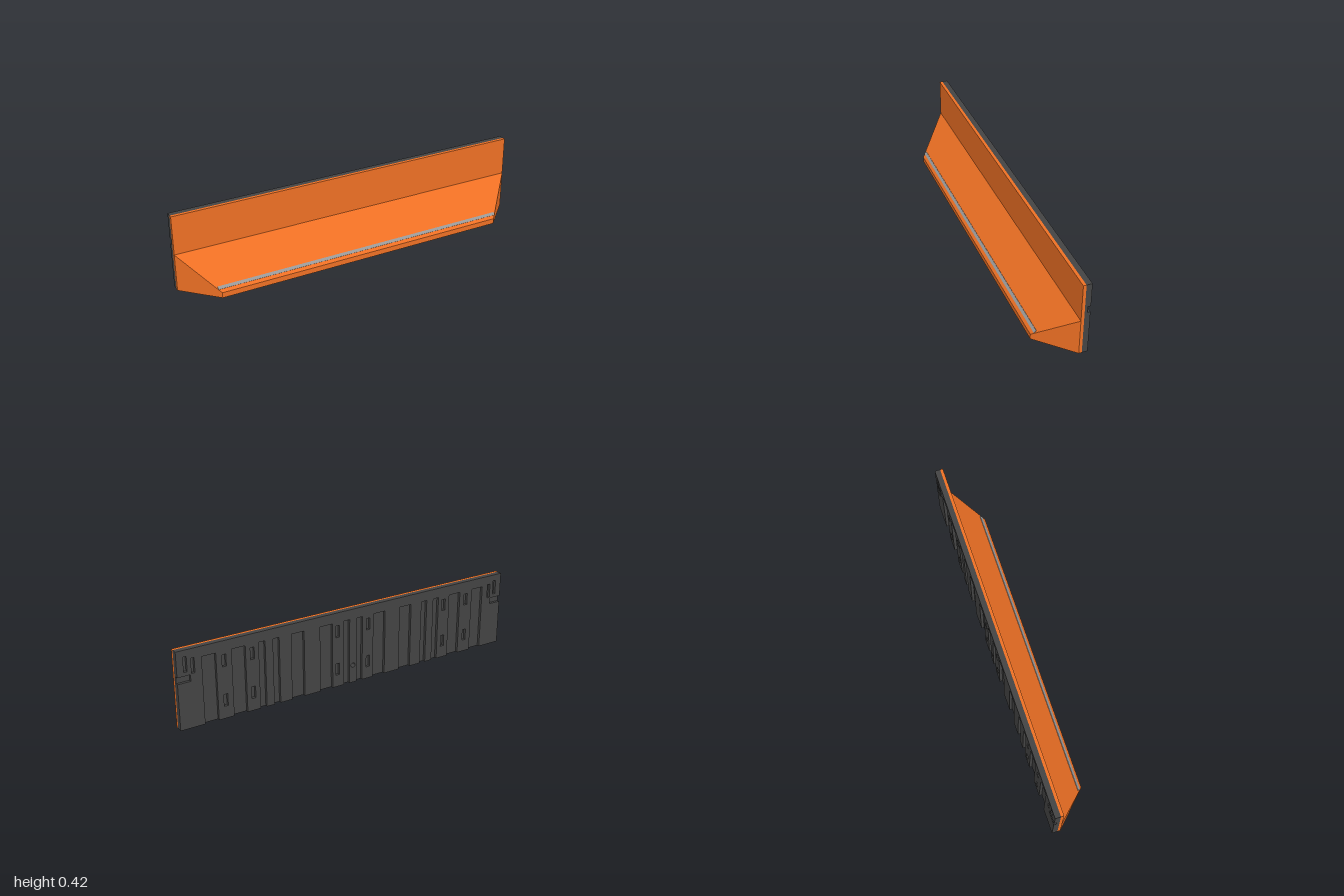
import * as THREE from 'three';

const paint = (color) => new THREE.MeshStandardMaterial({ color, flatShading: true });

function addMesh(parent, name, geometry, material) {
  const mesh = new THREE.Mesh(geometry, material);
  mesh.name = name;
  parent.add(mesh);
  return mesh;
}

// Rectangular hole in the x-y plane, centred on x, y
function slot(x, y, w, h) {
  return new THREE.Path([[-w, -h], [-w, h], [w, h], [w, -h]]
    .map(([a, b]) => new THREE.Vector2(x + a / 2, y + b / 2)));
}

function roundHole(x, y, r) {
  const path = new THREE.Path();
  path.absarc(x, y, r, 0, Math.PI * 2, true);
  return path;
}

function slab(shape, z, depth) {
  return new THREE.ExtrudeGeometry(shape, { depth, bevelEnabled: false, curveSegments: 6 })
    .translate(0, 0, z);
}

// Thin hood, open underneath: slope, front lip and two slanted ends
function hoodGeometry() {
  const profile = (x0, x1, top, lip, front) => [
    [x0, top, -0.064], [x1, lip, front], [x1, 0, front], [x0, 0, -0.064]];
  const outer = profile(1, 0.826, 0.206, 0.03, 0.112);
  const inner = profile(0.985, 0.82, 0.192, 0.026, 0.102);
  const flip = ([x, y, z]) => [-x, y, z];
  const positions = [];
  const quad = (a, b, c, d) => positions.push(...a, ...b, ...c, ...a, ...c, ...d);

  for (const [p, inside] of [[outer, false], [inner, true]]) {
    const [a, b, c, d] = p;
    const [e, f, g, h] = p.map(flip);
    const faces = [[e, f, b, a], [f, g, c, b], [a, b, c, d], [h, g, f, e]];
    for (const face of faces) quad(...(inside ? face.reverse() : face));
  }
  // Bottom rim joining the two skins
  const [, , oc, od] = outer, [, , ic, id] = inner;
  quad(od, oc, ic, id);
  quad(oc, flip(oc), flip(ic), ic);
  quad(flip(oc), flip(od), flip(id), flip(ic));

  const geometry = new THREE.BufferGeometry();
  geometry.setAttribute('position', new THREE.Float32BufferAttribute(positions, 3));
  geometry.computeVertexNormals();
  return geometry;
}

// Raised back layer: a comb whose grooves run up from the bottom edge
function ribShape() {
  const grooves = [];
  for (const x of [0.165, 0.335, 0.67, 0.83]) grooves.push([x, 0.075], [-x, 0.075]);
  for (const x of [-0.5, 0, 0.5]) grooves.push([x - 0.04, 0.036], [x + 0.04, 0.036]);
  grooves.sort((a, b) => a[0] - b[0]);

  const s = new THREE.Shape();
  s.moveTo(-1, 0);
  for (const [x, w] of grooves) {
    s.lineTo(x - w / 2, 0);
    s.lineTo(x - w / 2, 0.365);
    s.lineTo(x + w / 2, 0.365);
    s.lineTo(x + w / 2, 0);
  }
  // Right edge, top and left edge, with a small notch in each end
  const edge = [[1, 0], [1, 0.25], [0.93, 0.25], [0.93, 0.285], [1, 0.285], [1, 0.42]];
  for (const [x, y] of edge) s.lineTo(x, y);
  for (const [x, y] of edge.slice(1).reverse()) s.lineTo(-x, y);
  s.closePath();

  for (const side of [-1, 1]) {
    for (const x of [0.095, 0.595, 0.75]) {
      for (const y of [0.1, 0.315]) s.holes.push(slot(side * x, y, 0.022, 0.065));
    }
    s.holes.push(slot(side * 0.955, 0.345, 0.018, 0.08), slot(side * 0.915, 0.33, 0.018, 0.08));
  }
  s.holes.push(roundHole(0, 0.1, 0.013));
  return s;
}

export function createModel() {
  const model = new THREE.Group();
  const orange = paint(0xee7024);
  const dark = paint(0x444444);

  // Front board
  addMesh(model, 'frontBoard', new THREE.BoxGeometry(2, 0.42, 0.016), orange)
    .position.set(0, 0.21, -0.072);

  // Sloping hood with an inset strip along its lower edge
  addMesh(model, 'hood', hoodGeometry(), orange);
  const strip = addMesh(model, 'slopeStrip', new THREE.BoxGeometry(1.68, 0.004, 0.017), paint(0x999999));
  strip.position.set(0, 0.0505, 0.0925);
  strip.rotation.x = Math.PI / 4;

  // Back panel: flat floor and ribbed layer
  const back = new THREE.Group();
  back.name = 'backPanel';
  const floor = new THREE.Shape([[-1, 0], [1, 0], [1, 0.42], [-1, 0.42]]
    .map(([x, y]) => new THREE.Vector2(x, y)));
  floor.holes.push(roundHole(0, 0.1, 0.013));
  addMesh(back, 'backFloor', slab(floor, -0.095, 0.015), dark);
  addMesh(back, 'backRibs', slab(ribShape(), -0.11, 0.015), dark);
  model.add(back);

  return model;
}
